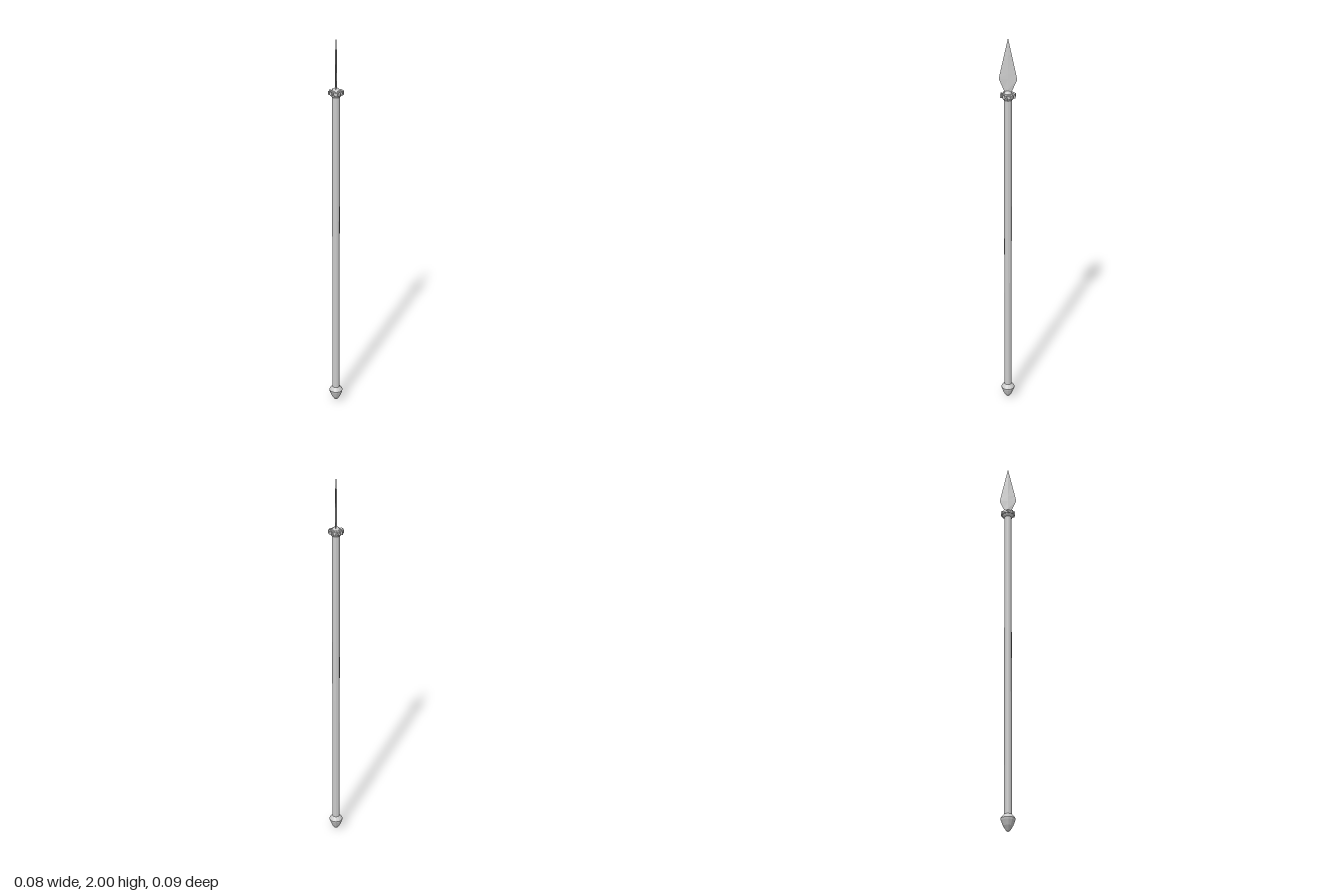
import * as THREE from 'three';

const material = new THREE.MeshStandardMaterial({ color: 0xcccccc, flatShading: true, side: THREE.DoubleSide });

function addMesh(parent, name, geometry) {
  const mesh = new THREE.Mesh(geometry, material);
  mesh.name = name;
  parent.add(mesh);
  return mesh;
}

// Turned part from [radius, height] pairs, listed from bottom to top
function turned(points, sides) {
  return new THREE.LatheGeometry(points.map(([r, y]) => new THREE.Vector2(r, y)), sides);
}

// Leaf blade: rhombic cross-sections [height, half width, half thickness] joined upward
function bladeGeometry(sections) {
  const positions = [];
  const ring = ([y, w, t]) => [[t, y, 0], [0, y, -w], [-t, y, 0], [0, y, w]];
  for (let i = 0; i < sections.length - 1; i++) {
    const a = ring(sections[i]), b = ring(sections[i + 1]);
    for (let k = 0; k < 4; k++) {
      const n = (k + 1) % 4;
      positions.push(...a[k], ...a[n], ...b[n], ...a[k], ...b[n], ...b[k]);
    }
  }
  const geometry = new THREE.BufferGeometry();
  geometry.setAttribute('position', new THREE.Float32BufferAttribute(positions, 3));
  geometry.computeVertexNormals();
  return geometry;
}

export function createModel() {
  const spear = new THREE.Group();
  spear.name = 'spear';

  // Shaft
  const shaft = addMesh(spear, 'shaft', new THREE.CylinderGeometry(0.019, 0.019, 1.65, 12));
  shaft.position.y = 0.895;

  // Pointed butt cap
  addMesh(spear, 'buttCap', turned([
    [0, 0], [0.011, 0.009], [0.024, 0.03], [0.034, 0.056], [0.036, 0.066], [0.03, 0.074], [0.019, 0.086],
  ], 12));

  // Collar with a ring of slanted lugs
  const collar = new THREE.Group();
  collar.name = 'collar';
  spear.add(collar);
  addMesh(collar, 'collarBand', turned([
    [0.019, 1.698], [0.026, 1.704], [0.031, 1.714], [0.031, 1.724], [0.022, 1.731], [0.019, 1.731],
  ], 12));
  const lugCount = 10;
  for (let i = 0; i < lugCount; i++) {
    const pivot = new THREE.Group();
    pivot.name = 'lugPivot';
    pivot.rotation.y = (i / lugCount) * Math.PI * 2;
    collar.add(pivot);
    const lug = addMesh(pivot, 'collarLug', new THREE.BoxGeometry(0.014, 0.018, 0.011));
    lug.position.set(0.03, 1.72, 0);
    lug.rotation.set(0.25, 0.35, 0);
  }

  // Domed socket under the blade
  addMesh(spear, 'socket', turned([
    [0.02, 1.725], [0.019, 1.732], [0.014, 1.739], [0.007, 1.744], [0, 1.746],
  ], 12));

  // Blade, turned slightly about the shaft
  const blade = addMesh(spear, 'blade', bladeGeometry([
    [1.73, 0.015, 0.005], [1.75, 0.022, 0.005], [1.8, 0.044, 0.005],
    [1.83, 0.038, 0.005], [1.92, 0.018, 0.004], [2, 0, 0],
  ]));
  blade.rotation.y = -0.14;

  return spear;
}
